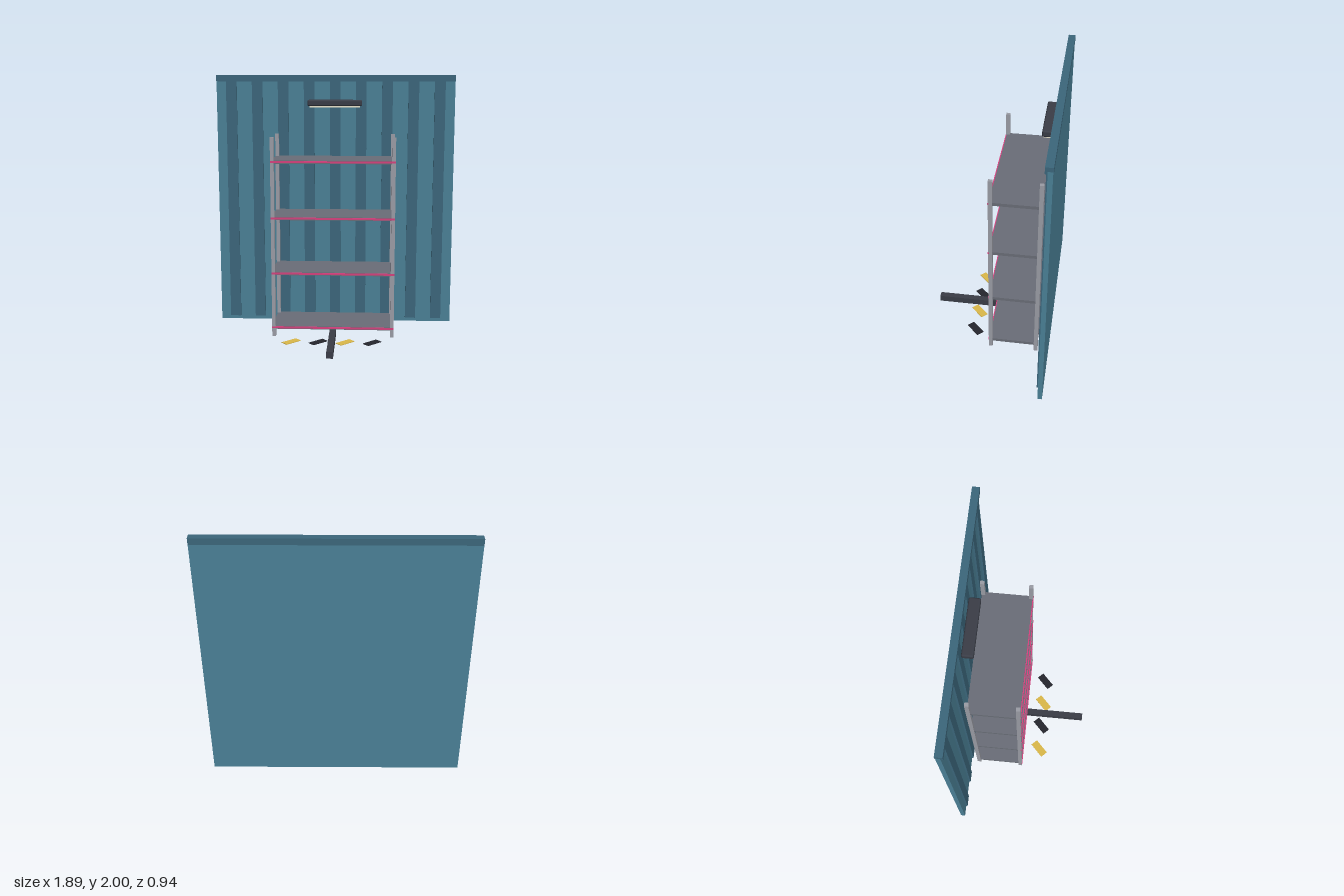
import * as THREE from 'three';
import { RoundedBoxGeometry } from 'three/addons/geometries/RoundedBoxGeometry.js';

const mat = (color) => new THREE.MeshStandardMaterial({ color });
const M = {
  wall: mat(0x4b8197), rib: mat(0x3c677c), post: mat(0x9b9da6), shelf: mat(0x6a6e78),
  trim: mat(0xd8417f), dark: mat(0x3a3d47), lens: mat(0xe8e2cc), yellow: mat(0xdcb94a), black: mat(0x25262e),
};

// Box given by its [min, max] extent on each axis
function slab(parent, name, material, [x0, x1], [y0, y1], [z0, z1]) {
  const mesh = new THREE.Mesh(new THREE.BoxGeometry(x1 - x0, y1 - y0, z1 - z0), material);
  mesh.position.set((x0 + x1) / 2, (y0 + y1) / 2, (z0 + z1) / 2);
  mesh.name = name;
  parent.add(mesh);
  return mesh;
}

function group(parent, name) {
  const g = new THREE.Group();
  g.name = name;
  parent.add(g);
  return g;
}

export function createModel() {
  const model = new THREE.Group();
  model.name = 'storageWall';

  // Ribbed back wall with a cap rail
  const wall = group(model, 'wall');
  slab(wall, 'wallPanel', M.wall, [-0.943, 0.943], [0, 1.97], [-0.47, -0.437]);
  slab(wall, 'wallCap', M.rib, [-0.943, 0.943], [1.953, 2], [-0.473, -0.42]);
  for (let i = -4; i <= 4; i++) {
    const x = i * 0.206;
    slab(wall, 'wallRib', M.rib, [x - 0.042, x + 0.042], [0.03, 1.954], [-0.44, -0.423]);
  }

  // Shelving rack: four posts, four shelves with a coloured front trim
  const rack = group(model, 'rack');
  for (const side of [-1, 1]) {
    for (const z of [-0.022, -0.372]) {
      const x = side * 0.457;
      slab(rack, 'post', M.post, [x - 0.014, x + 0.014], [0, 1.545], [z - 0.015, z + 0.015]);
    }
  }
  for (let i = 0; i < 4; i++) {
    const y = 0.068 + i * 0.43;
    slab(rack, 'shelf', M.shelf, [-0.468, 0.468], [y - 0.012, y + 0.012], [-0.384, -0.012]);
    slab(rack, 'shelfTrim', M.trim, [-0.471, 0.471], [y - 0.005, y + 0.009], [-0.014, -0.004]);
  }

  // Wall lamp with a lens underneath
  const lamp = group(model, 'lamp');
  const housing = new THREE.Mesh(new RoundedBoxGeometry(0.426, 0.048, 0.083, 3, 0.012), M.dark);
  housing.position.set(0, 1.786, -0.378);
  housing.name = 'lampHousing';
  lamp.add(housing);
  slab(lamp, 'lampLens', M.lens, [-0.198, 0.198], [1.752, 1.766], [-0.41, -0.346]);

  // Floor rail running out from under the rack
  slab(model, 'floorRail', M.dark, [-0.024, 0.024], [0, 0.052], [-0.036, 0.47]);

  // Alternating hazard marks on the floor
  const marks = group(model, 'floorMarks');
  for (let i = 0; i < 4; i++) {
    const mark = slab(marks, 'floorMark', i % 2 ? M.black : M.yellow, [-0.068, 0.068], [0, 0.005], [-0.03, 0.03]);
    mark.position.x = -0.31 + i * 0.205;
    mark.position.z = 0.125;
    mark.rotation.y = 0.76;
  }
  return model;
}
